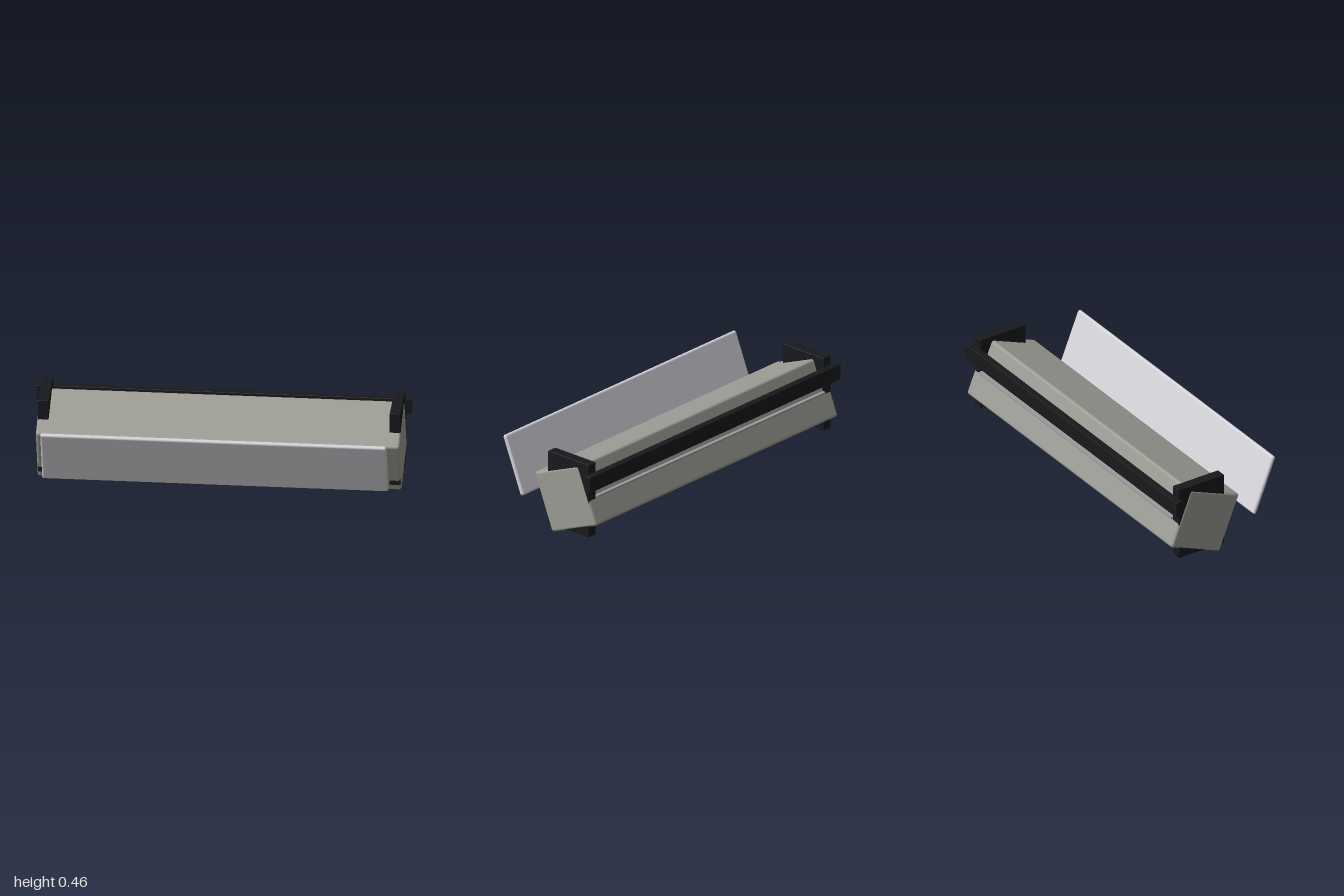
import * as THREE from 'three';
import { RoundedBoxGeometry } from 'three/addons/geometries/RoundedBoxGeometry.js';

const TILT = THREE.MathUtils.degToRad(22);

export function createModel() {
  const model = new THREE.Group();
  model.name = 'tiltedBarUnit';

  const housing = new THREE.MeshStandardMaterial({ color: 0x9c9c95 });
  const black = new THREE.MeshStandardMaterial({ color: 0x18191b });
  const pale = new THREE.MeshStandardMaterial({ color: 0xd2d2d8 });
  const metal = new THREE.MeshStandardMaterial({ color: 0x9a9a9c });

  // Rounded block: size, centre, edge radius and tilt about x
  function block(name, material, [w, h, d], [x, y, z], radius, tilt = 0) {
    const mesh = new THREE.Mesh(new RoundedBoxGeometry(w, h, d, 4, radius), material);
    mesh.name = name;
    mesh.position.set(x, y, z);
    mesh.rotation.x = tilt;
    model.add(mesh);
  }

  // Square housing, tipped forward
  block('housing', housing, [1.94, 0.338, 0.338], [0, 0.215, -0.132], 0.015, TILT);

  // Free-standing front panel, parallel to the housing face
  block('frontPanel', pale, [1.845, 0.34, 0.024], [0, 0.273, 0.28], 0.0118, TILT);

  // Upright end brackets
  for (const side of [-1, 1]) {
    const name = side > 0 ? 'leftBracket' : 'rightBracket';
    block(name, black, [0.058, 0.42, 0.29], [side * 0.938, 0.25, -0.155], 0.003);
  }

  // Long rail across the back
  block('rearRail', black, [2, 0.088, 0.039], [0, 0.364, -0.32], 0.003);

  // Evenly spaced slats behind the housing
  for (let i = 0; i < 5; i++) {
    block('rearSlat', metal, [1.82, 0.01, 0.025], [0, 0.106 + i * 0.0525, -0.3005], 0.001);
  }

  return model;
}
